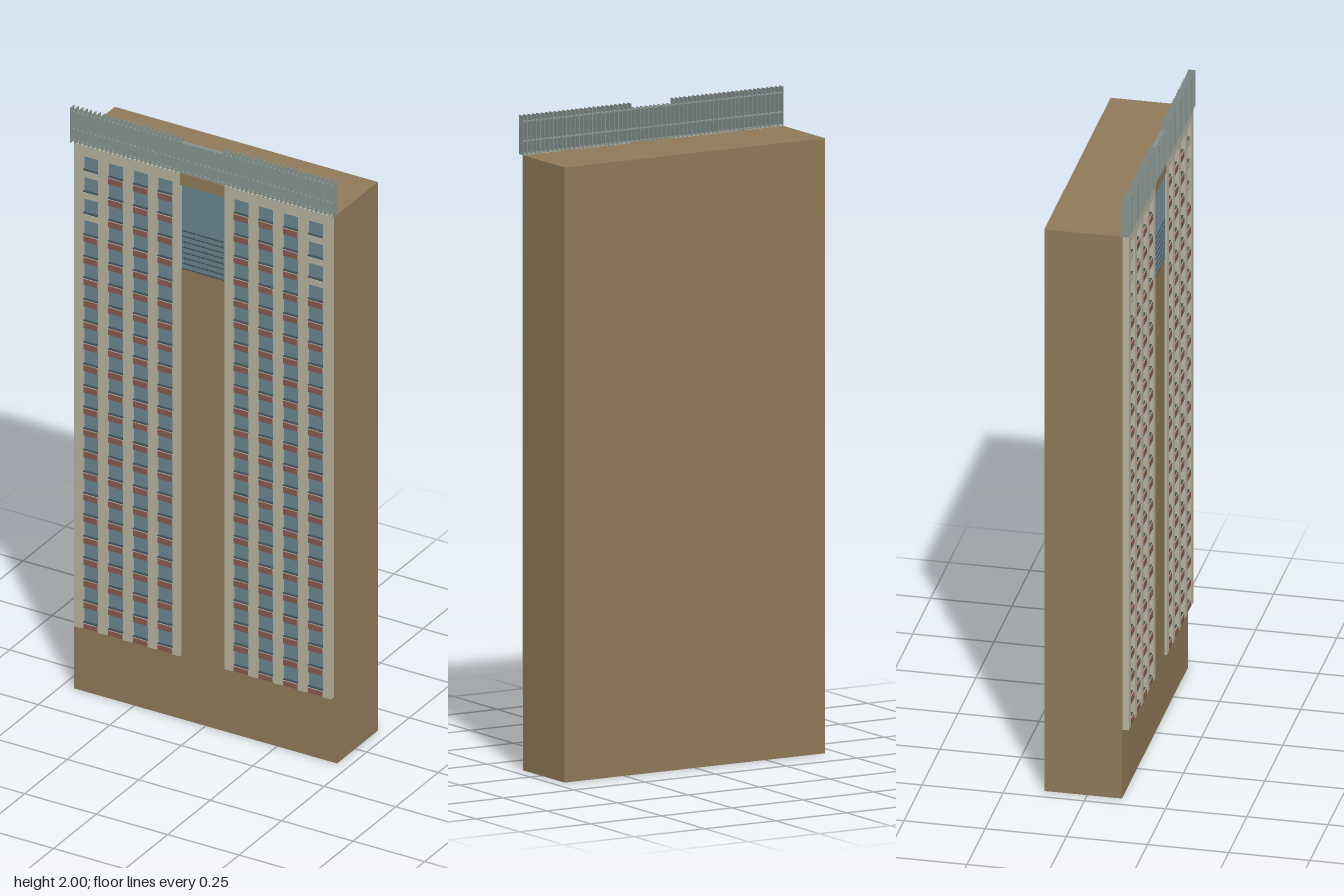
import * as THREE from 'three';
import { mergeGeometries } from 'three/addons/utils/BufferGeometryUtils.js';

const mat = (name, color) => {
  const m = new THREE.MeshStandardMaterial({ color });
  m.name = name;
  return m;
};

// box from its lower and upper limits on each axis
const box = (x0, x1, y0, y1, z0, z1) =>
  new THREE.BoxGeometry(x1 - x0, y1 - y0, z1 - z0)
    .translate((x0 + x1) / 2, (y0 + y1) / 2, (z0 + z1) / 2);

export function createModel() {
  const group = new THREE.Group();
  const brown = mat('brown wall', 0x8f7958);
  const beige = mat('beige facade', 0xb7b29e);
  const red = mat('red spandrel', 0x84594e);
  const glass = mat('blue glass', 0x68848f);
  const metal = mat('grey metal', 0x86938f);
  const dark = mat('dark mullion', 0x3f5058);

  const add = (name, geos, material) => {
    const mesh = new THREE.Mesh(mergeGeometries(geos), material);
    mesh.name = name;
    group.add(mesh);
  };

  const back = 0.107, face = 0.126, base = 0.225, roof = 1.88;

  // main slab and centre bay
  add('slab', [box(-0.46, 0.46, 0, roof, -0.132, back)], brown);
  add('centreBay', [
    box(-0.078, 0.078, base, 1.55, back, 0.118),
    box(-0.078, 0.078, 1.84, roof, back, 0.125),
  ], brown);

  // window grid: four columns on each half, 22 floors
  const columns = [0.133, 0.219, 0.306, 0.393];
  const half = 0.0285, rows = 22, pitch = 0.0738, height = 0.053, top = 1.845;
  const piers = [], bands = [], spandrels = [], panes = [], sills = [];

  for (const s of [-1, 1]) {
    // s mirrors the limits of each box
    const sideBox = (a, b, ...rest) => box(Math.min(s * a, s * b), Math.max(s * a, s * b), ...rest);
    const edges = [0.078, ...columns.flatMap((c) => [c - half, c + half]), 0.449];
    for (let i = 0; i < edges.length; i += 2) {
      piers.push(sideBox(edges[i], edges[i + 1], base, roof, back, face));
    }
    columns.forEach((c, k) => {
      panes.push(sideBox(c - half, c + half, base, roof, back, 0.112));
      bands.push(sideBox(c - half, c + half, top, roof, back, face));
      for (let i = 0; i < rows; i++) {
        const y1 = top - i * pitch - height;
        const y0 = i === rows - 1 ? base : y1 - (pitch - height);
        bands.push(sideBox(c - half, c + half, y0, y1, back, 0.122));
        // the highest gaps of the outer columns stay beige
        if (!(k === 3 && i < 3)) {
          spandrels.push(sideBox(c - 0.024, c + 0.024, y0 + 0.001, y1 - 0.001, 0.122, 0.125));
        }
        sills.push(sideBox(c - half, c + half, y1, y1 + 0.003, 0.112, 0.12));
      }
    });
  }
  add('piers', piers, beige);
  add('floorBands', bands, beige);
  add('spandrels', spandrels, red);
  add('windowPanes', panes, glass);
  add('windowSills', sills, dark);

  // glazed panel at the top of the centre bay
  add('centreGlazing', [box(-0.078, 0.078, 1.55, 1.84, back, 0.116)], glass);
  const louvres = [], fins = [];
  for (let i = 0; i < 8; i++) {
    const y = 1.551 + i * 0.0185;
    louvres.push(box(-0.075, 0.075, y, y + 0.003, 0.116, 0.121));
  }
  for (let i = 0; i < 10; i++) {
    const x = -0.072 + i * 0.016;
    fins.push(box(x - 0.001, x + 0.001, 1.55, 1.84, 0.116, 0.121));
  }
  add('centreLouvres', louvres, dark);
  add('centreFins', fins, glass);

  // rooftop screen: upright fins joined by rails, lower at the centre
  const bars = [], rails = [];
  const count = 61;
  for (let i = 0; i < count; i++) {
    const x = -0.459 + (0.918 * i) / (count - 1);
    const y = Math.abs(x) < 0.075 ? 1.985 : 2;
    bars.push(box(x - 0.001, x + 0.001, roof, y, back, 0.13));
  }
  for (const y of [1.882, 1.92, 1.98]) {
    rails.push(box(-0.459, 0.459, y, y + 0.003, back + 0.001, 0.121));
  }
  add('screenFins', bars, metal);
  add('screenRails', rails, metal);

  return group;
}
